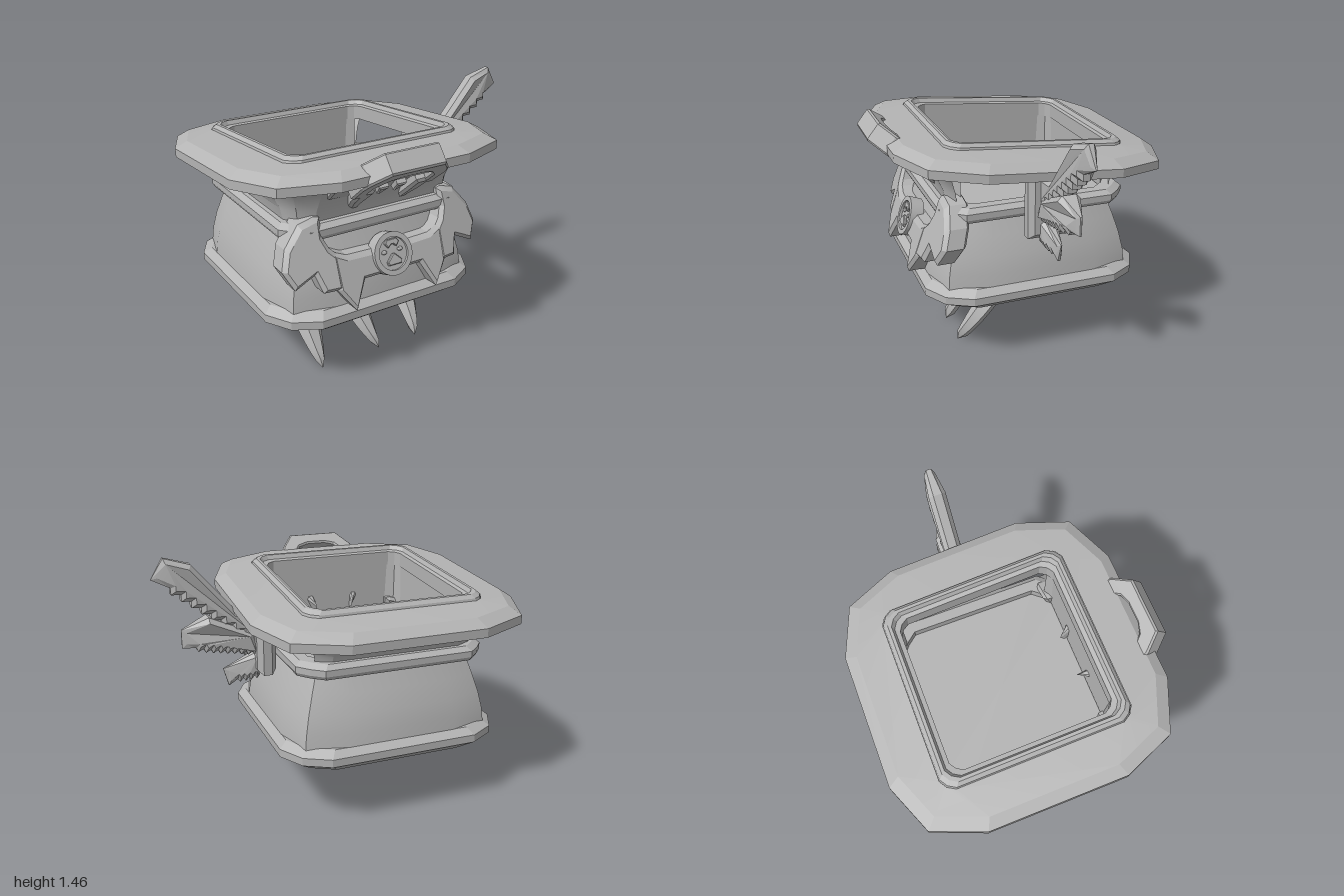
import * as THREE from 'three';
import { toCreasedNormals } from 'three/addons/utils/BufferGeometryUtils.js';

const CX = -0.217, CZ = -0.045, TILT = 0.083;
const grey = new THREE.MeshStandardMaterial({ color: 0xb4b4b4, side: THREE.DoubleSide });
grey.name = 'stone grey';

function mesh(name, geo, crease = 0.15) {
  const m = new THREE.Mesh(toCreasedNormals(geo, crease), grey);
  m.name = name;
  return m;
}

// Skin between rows of points; every row is a closed loop
function loft(rows, skip = []) {
  const pos = [], n = rows[0].length;
  for (let i = 0; i < rows.length - 1; i++) {
    for (let j = 0; j < n; j++) {
      if (skip.includes(j)) continue;
      const k = (j + 1) % n;
      const [a, b, c, d] = [rows[i][j], rows[i + 1][j], rows[i + 1][k], rows[i][k]];
      for (const p of [a, b, c, a, c, d]) pos.push(...p);
    }
  }
  const g = new THREE.BufferGeometry();
  g.setAttribute('position', new THREE.Float32BufferAttribute(pos, 3));
  return g;
}

// Twelve-sided square loop: a = straight share of each side, b = corner reach
function loop([h, y, tilt = 0, a = 0.49, b = 0.853]) {
  const q = [[1, a], [b, b], [a, 1]];
  const pts = [
    ...q, ...q.map(([x, z]) => [-x, z]).reverse(),
    ...q.map(([x, z]) => [-x, -z]), ...q.map(([x, z]) => [x, -z]).reverse(),
  ];
  return pts.map(([x, z]) => [CX + x * h, y + tilt * TILT * z * h, CZ + z * h]);
}

// Stack of loops that share one plan shape
const stack = (profile, tilt, a, b) => loft(profile.map(([h, y]) => loop([h, y, tilt, a, b])));

// Bevelled plate from an outline; its faces lie at z = 0 and z = depth
function plate(points, depth, bevel = 0.015) {
  const shape = new THREE.Shape(points.map(([x, y]) => new THREE.Vector2(x, y)));
  const g = new THREE.ExtrudeGeometry(shape, {
    depth: depth - 2 * bevel, bevelThickness: bevel, bevelSize: bevel,
    bevelOffset: -bevel, bevelSegments: 1,
  });
  return g.translate(0, 0, bevel);
}

const mirrored = (half) => [...half, ...half.map(([x, y]) => [-x, y]).reverse()];

// Saw-tooth edge from p to q, with teeth of the given height
function teeth([px, py], [qx, qy], n, height) {
  const dx = qx - px, dy = qy - py, len = Math.hypot(dx, dy), out = [];
  for (let i = 0; i < n; i++) {
    const s = i / n, t = (i + 0.65) / n;
    out.push([px + dx * s, py + dy * s]);
    out.push([px + dx * t + (dy / len) * height, py + dy * t - (dx / len) * height]);
  }
  return [...out, [qx, qy]];
}

// Blade plate that thins towards its outer end
function blade(points, depth) {
  const g = plate(points, depth, 0.025).translate(0, 0, -depth / 2), p = g.attributes.position;
  const tip = Math.max(...points.map(([x]) => x)) + 0.02;
  for (let i = 0; i < p.count; i++) p.setZ(i, p.getZ(i) * Math.min(1, (tip - p.getX(i)) / 0.16));
  return g;
}

// Curved claw tapering to a point; x runs from root through bend to tip
function claw(root, bend, tip) {
  const rows = [];
  for (let i = 0; i <= 10; i++) {
    const t = i / 10, w = 0.107 * Math.pow(1 - t, 0.6), d = 0.055 * Math.pow(1 - t, 0.22);
    const cx = root * (1 - t) ** 2 + 2 * bend * t * (1 - t) + tip * t * t;
    const y = 0.38 - 0.375 * t, z = 0.11 + 0.287 * t;
    rows.push([[-1, 0], [-0.45, 1], [0.45, 1], [1, 0], [0.45, -1], [-0.45, -1]]
      .map(([u, v]) => [cx + u * w, y + v * d * 0.6, z + v * d * 0.8]));
  }
  return loft(rows);
}

// Jaw plate leaning back; wrap pulls it backwards away from the middle
function jawPlate(points, wrap) {
  const g = plate(points, 0.14, 0.022), p = g.attributes.position;
  for (let i = 0; i < p.count; i++) {
    const back = wrap * (Math.abs(p.getX(i)) - 0.33);
    p.setZ(i, p.getZ(i) + 0.54 - 0.36 * (p.getY(i) - 0.5) - back);
  }
  return g.translate(CX, 0, 0);
}

export function createModel() {
  const model = new THREE.Group();
  model.name = 'fangedVessel';

  // Vessel: base rim, bowed body, collar and floor
  model.add(mesh('baseRim', stack([[0, 0.34], [0.56, 0.34], [0.655, 0.41], [0.655, 0.455],
    [0.61, 0.49], [0.55, 0.49]], 0, 0.66, 0.88), 0.1));
  model.add(mesh('body', stack([[0.612, 0.48], [0.603, 0.56], [0.58, 0.66], [0.545, 0.77],
    [0.505, 0.88]], 0, 0.53, 0.895), 0.6));
  model.add(mesh('collar', stack([[0.5, 0.865], [0.55, 0.87], [0.56, 0.89], [0.56, 0.925],
    [0.53, 0.95], [0.47, 0.95], [0.47, 0.9], [0, 0.9]], 0, 0.78, 0.9), 0.1));

  // Flared neck, open on the +x side
  model.add(mesh('neck', loft([[0.5, 0.93, 0, 0.76, 0.92], [0.515, 1.0, 0.4, 0.73, 0.91],
    [0.56, 1.08, 0.8, 0.66, 0.89], [0.62, 1.13, 1, 0.6, 0.87], [0.68, 1.165, 1, 0.53, 0.86],
    [0.455, 1.18, 1, 0.85, 0.95], [0.455, 0.91, 0, 0.82, 0.94], [0.5, 0.93, 0, 0.76, 0.92],
  ].map(loop), [0, 10, 11]), 0.4));

  // Tilted brim with a raised ring around the opening
  model.add(mesh('brim', loft([[0.46, 1.17, 1, 0.87, 0.96], [0.72, 1.145, 1], [0.783, 1.145, 1],
    [0.783, 1.195, 1], [0.72, 1.235, 1], [0.53, 1.25, 1, 0.87, 0.95]].map(loop)), 0.1));
  model.add(mesh('openingRing', stack([[0.53, 1.24], [0.525, 1.262], [0.505, 1.28], [0.487, 1.28],
    [0.475, 1.255], [0.45, 1.25], [0.45, 1.165]], 1, 0.87, 0.95), 0.1));

  // Lower jaw: toothed middle plate and two crescent ends swept back
  model.add(mesh('lowerJaw', jawPlate(mirrored([[-0.09, 0.77], [-0.26, 0.775], [-0.345, 0.81],
    [-0.345, 0.615], [-0.255, 0.49], [-0.175, 0.635]]), 0), 0.3));
  for (const s of [-1, 1]) {
    model.add(mesh('jawEnd', jawPlate([[0.31, 0.79], [0.35, 0.83], [0.375, 0.89], [0.37, 0.985],
      [0.4, 0.99], [0.49, 0.965], [0.58, 0.86], [0.615, 0.755], [0.565, 0.655], [0.45, 0.71],
      [0.42, 0.615], [0.31, 0.615]].map(([x, y]) => [x * s, y]), 0.14), 0.3));
  }

  // Round badge with a small simple face
  const badge = new THREE.Group();
  badge.name = 'badge';
  badge.position.set(CX, 0.722, 0.575);
  badge.rotation.x = -0.35;
  badge.add(mesh('badgeDisc', new THREE.CylinderGeometry(0.11, 0.11, 0.06, 24).rotateX(Math.PI / 2), 0.6));
  const rim = new THREE.Shape().absarc(0, 0, 0.118, 0, Math.PI * 2);
  rim.holes.push(new THREE.Path().absarc(0, 0, 0.09, 0, Math.PI * 2));
  badge.add(mesh('badgeRim', new THREE.ExtrudeGeometry(rim, { depth: 0.08, bevelEnabled: false, curveSegments: 24 })
    .translate(0, 0, -0.035), 0.6));
  for (const s of [-1, 1]) {
    const eye = mesh('badgeEye', new THREE.SphereGeometry(0.015, 10, 6).scale(1.2, 0.8, 0.8), 1);
    eye.position.set(s * 0.05, 0.015, 0.032);
    badge.add(eye);
  }
  badge.add(mesh('badgeNose', plate(mirrored([[-0.006, 0.0], [-0.045, -0.04], [-0.04, -0.06],
    [-0.012, -0.06]]), 0.02, 0.004).translate(0, 0, 0.028)));
  badge.add(mesh('badgeTuft', plate(mirrored([[-0.008, 0.05], [-0.025, 0.035], [-0.045, 0.06],
    [-0.03, 0.08]]), 0.02, 0.004).translate(0, 0, 0.028)));
  model.add(badge);

  // Upper jaw: arched handle, cross plate, fangs and small teeth in one slanted plane
  const upper = new THREE.Group();
  upper.name = 'upperJaw';
  upper.position.set(CX, 1.28, 0.835);
  upper.rotation.x = 0.89;
  upper.add(mesh('archHandle', plate([[-0.25, -0.3], [-0.255, -0.16], [-0.235, -0.1], [-0.16, 0],
    [0.16, 0], [0.235, -0.1], [0.255, -0.16], [0.25, -0.3], [0.18, -0.3], [0.175, -0.17],
    [0.12, -0.1], [0.06, -0.08], [-0.06, -0.08], [-0.12, -0.1], [-0.175, -0.17], [-0.18, -0.3],
  ], 0.12, 0.01).translate(0, 0, -0.12)));
  upper.add(mesh('crossPlate', plate(mirrored([[-0.18, -0.2], [-0.25, -0.22], [-0.33, -0.19],
    [-0.35, -0.25], [-0.33, -0.39], [-0.2, -0.41]]), 0.05, 0.01).translate(0, 0, -0.1)));
  for (const s of [-1, 1]) {
    upper.add(mesh('fang', plate([[-0.22, -0.24], [-0.21, -0.38], [-0.185, -0.47], [-0.12, -0.56],
      [-0.13, -0.42], [-0.125, -0.25]].map(([x, y]) => [x * s, y]), 0.08, 0.015).translate(0, 0, -0.08)));
    upper.add(mesh('smallTooth', plate([[0.025, -0.28], [0.085, -0.28], [0.05, -0.38]]
      .map(([x, y]) => [x * s, y]), 0.04, 0.008).translate(0, 0, -0.055)));
  }
  model.add(upper);

  // Side mount with three saw-edged blades
  const side = new THREE.Group();
  side.name = 'sideBlades';
  side.position.z = CZ;
  const mount = plate([[-0.112, 0.765], [0.112, 0.765], [0.112, 1.16], [-0.112, 1.16]], 0.11, 0.03);
  side.add(mesh('bladeMount', mount.rotateY(Math.PI / 2).translate(0.34, 0, 0)));
  const blades = [
    ['upperBlade', 0.1, [[1.0, 1.35], [0.93, 1.463], [0.785, 1.42], [0.545, 1.14], [0.42, 1.13],
      ...teeth([0.42, 0.935], [0.9, 1.3], 9, 0.03)]],
    ['middleBlade', 0.13, [[0.855, 0.95], [0.855, 1.055], [0.705, 1.12], [0.46, 1.01],
      ...teeth([0.42, 0.89], [0.78, 0.95], 9, 0.022)]],
    ['lowerBlade', 0.1, [[0.6, 0.695], [0.63, 0.8], [0.42, 0.89],
      ...teeth([0.42, 0.745], [0.55, 0.73], 4, 0.02)]],
  ];
  for (const [name, depth, pts] of blades) side.add(mesh(name, blade(pts, depth)));
  model.add(side);

  // Claws under the base
  for (const [root, bend, tip] of [[-0.535, -0.545, -0.54], [-0.22, -0.23, -0.16], [0.1, 0.14, 0.1]]) {
    model.add(mesh('claw', claw(root, bend, tip), 0.5));
  }
  return model;
}
